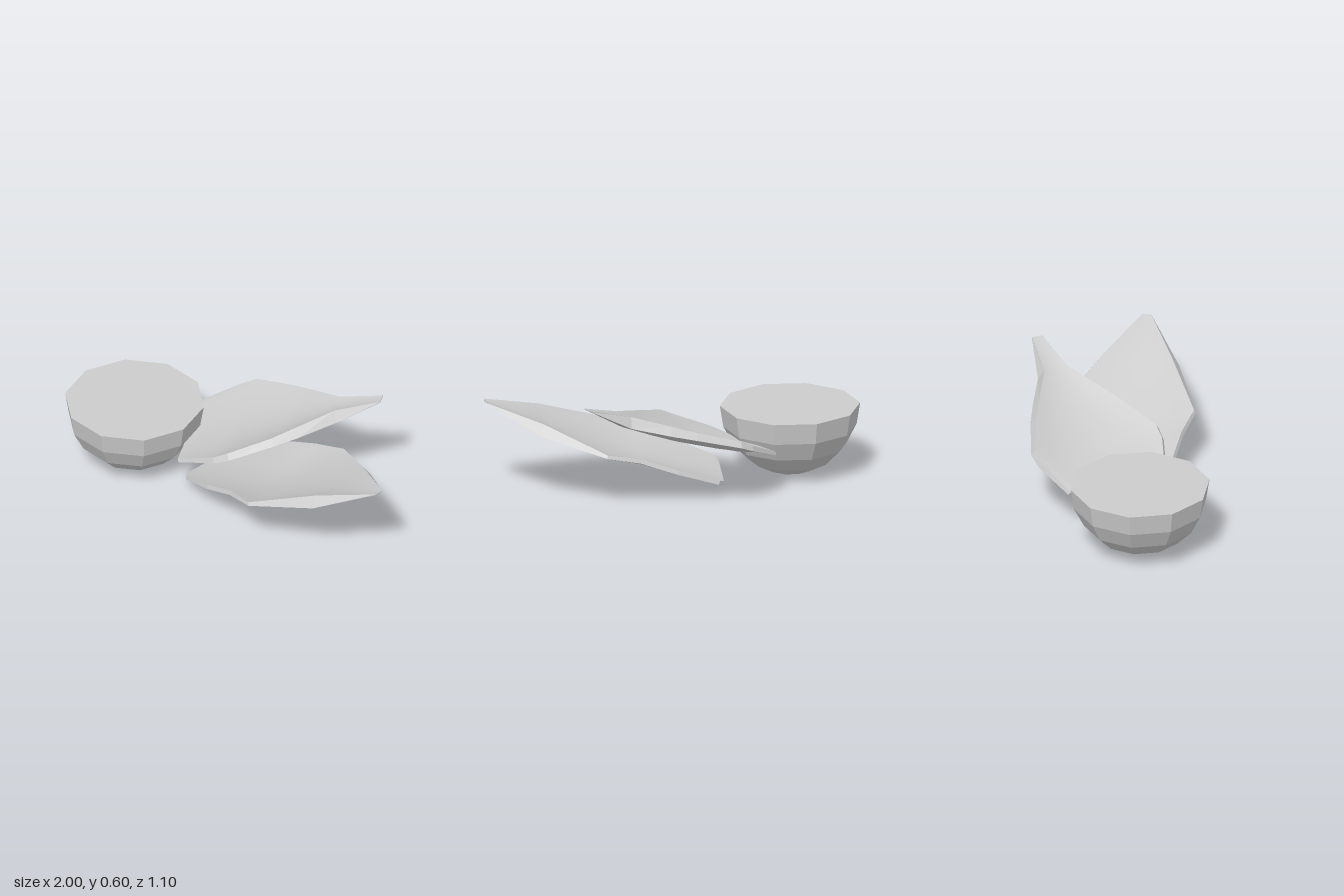
import * as THREE from 'three';

const smooth = new THREE.MeshStandardMaterial({ color: 0xcccccc });
const faceted = new THREE.MeshStandardMaterial({ color: 0xcccccc, flatShading: true });
const ACROSS = 10;

function surface(points, index, material, name) {
  const g = new THREE.BufferGeometry().setFromPoints(points);
  g.setIndex(index);
  g.computeVertexNormals();
  const mesh = new THREE.Mesh(g, material);
  mesh.name = name;
  return mesh;
}

// A cupped, slightly thick petal running along +x.
// Station: [distance, half width, edge height, centre height, thickness, rim inset]
function petal(name, stations) {
  const group = new THREE.Group();
  group.name = name;
  const under = [], upper = [];
  for (const [u, half, edge, centre, thick, inset] of stations) {
    for (let j = 0; j <= ACROSS; j++) {
      const s = (j / ACROSS) * 2 - 1;
      const y = centre + (edge - centre) * s * s;
      under.push(new THREE.Vector3(u, y, s * half));
      upper.push(new THREE.Vector3(u - inset * 0.6, y + thick, s * (half - inset)));
    }
  }
  const row = ACROSS + 1, last = stations.length - 1;
  const up = [], down = [];
  for (let i = 0; i < last; i++) {
    for (let j = 0; j < ACROSS; j++) {
      const a = i * row + j, b = a + 1, c = a + row, d = c + 1;
      up.push(a, b, c, b, d, c);
      down.push(a, c, b, b, c, d);
    }
  }

  // Rim: walk round the outline and join the two surfaces
  const loop = [];
  for (let i = 0; i < last; i++) loop.push(i * row + ACROSS);
  for (let j = ACROSS; j > 0; j--) loop.push(last * row + j);
  for (let i = last; i > 0; i--) loop.push(i * row);
  for (let j = 0; j < ACROSS; j++) loop.push(j);
  const rim = [], n = under.length;
  loop.forEach((a, k) => {
    const b = loop[(k + 1) % loop.length];
    rim.push(a, b, b + n, a, b + n, a + n);
  });

  group.add(
    surface(upper, up, smooth, name + 'Inside'),
    surface(under, down, smooth, name + 'Underside'),
    surface([...under, ...upper], rim, faceted, name + 'Rim'),
  );
  return group;
}

export function createModel() {
  const model = new THREE.Group();
  model.name = 'bowlAndPetals';

  // Ten-sided half ball with a flat top
  const R = 0.37, profile = [];
  for (let i = 0; i <= 5; i++) {
    const a = (i / 5) * Math.PI / 2;
    profile.push(new THREE.Vector2(R * Math.sin(a), R - R * Math.cos(a)));
  }
  profile.push(new THREE.Vector2(0, R));
  const bowl = new THREE.Mesh(new THREE.LatheGeometry(profile, 10, Math.PI / 2), faceted);
  bowl.name = 'halfBall';
  bowl.position.set(-0.63, 0, 0.19);
  model.add(bowl);

  // Long lower petal
  const lower = petal('lowerPetal', [
    [0.00, 0.190, 0.065, 0.065, 0.02, 0.00],
    [0.03, 0.235, 0.080, 0.070, 0.02, 0.01],
    [0.25, 0.295, 0.160, 0.125, 0.02, 0.01],
    [0.45, 0.318, 0.235, 0.172, 0.02, 0.01],
    [0.63, 0.358, 0.278, 0.222, 0.015, 0.01],
    [0.97, 0.215, 0.365, 0.340, 0.055, 0.035],
    [1.25, 0.024, 0.500, 0.500, 0.005, 0.00],
  ]);
  lower.position.set(-0.25, 0, -0.025);
  model.add(lower);

  // Shorter, broader upper petal, turned towards the back
  const upper = petal('upperPetal', [
    [0.00, 0.283, 0.220, 0.215, 0.015, 0.01],
    [0.21, 0.362, 0.302, 0.245, 0.025, 0.015],
    [0.29, 0.367, 0.335, 0.268, 0.03, 0.02],
    [0.51, 0.272, 0.395, 0.340, 0.035, 0.025],
    [0.63, 0.206, 0.425, 0.388, 0.045, 0.03],
    [0.81, 0.094, 0.475, 0.465, 0.055, 0.03],
    [1.03, 0.030, 0.595, 0.595, 0.005, 0.00],
  ]);
  upper.position.set(-0.37, 0, 0.03);
  upper.rotation.y = THREE.MathUtils.degToRad(33);
  model.add(upper);

  return model;
}
